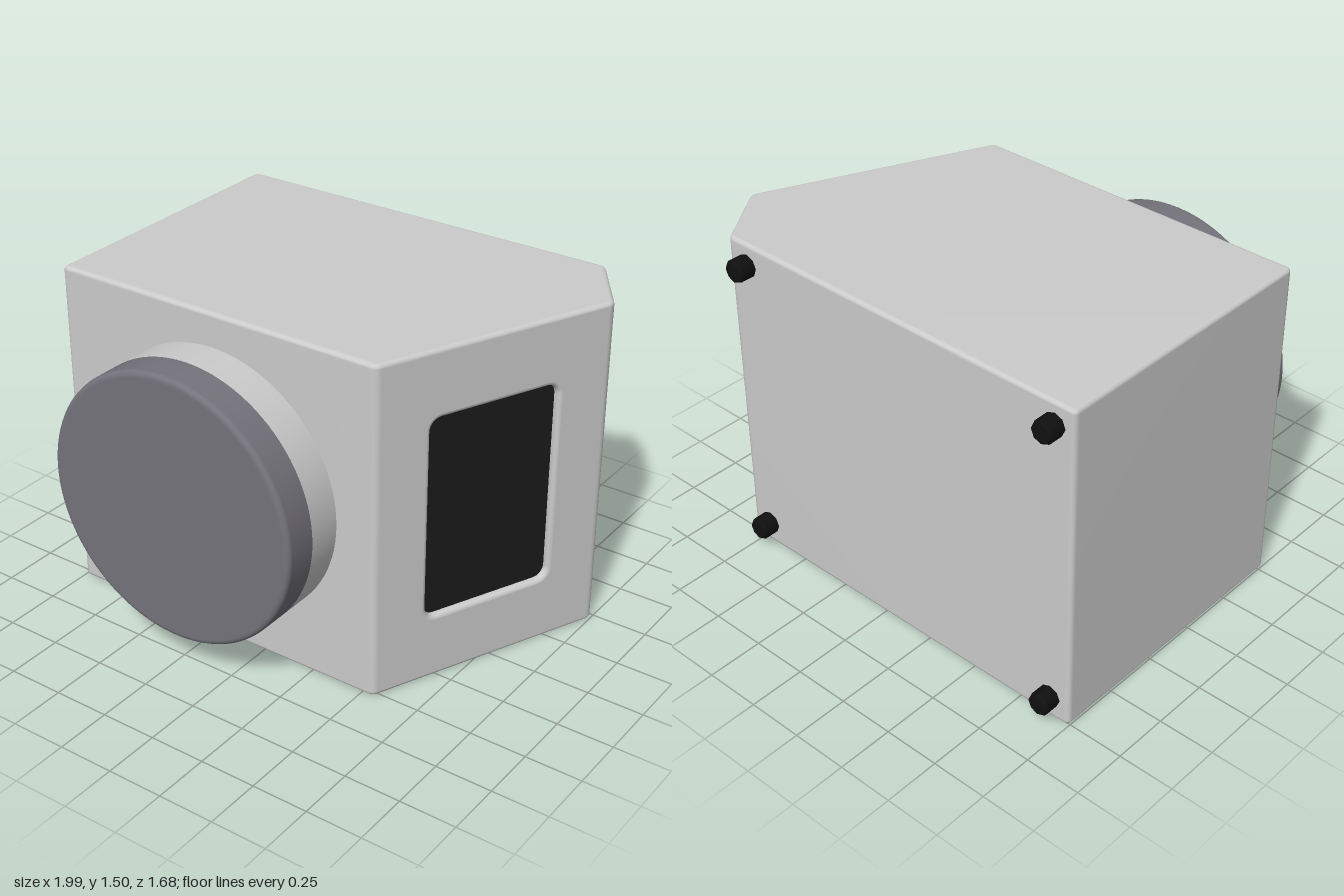
import * as THREE from 'three';
import { mergeVertices } from 'three/addons/utils/BufferGeometryUtils.js';

const H = 1.5;                 // body height
const BEVEL = 0.018;           // rounding of the long edges
const CORNER = 0.025;          // rounding of the upright corners
// Plan of the body as x, z, running anticlockwise seen from above
const PLAN = [[-1, 0.532], [0.555, 0.532], [1, -0.47], [0.8, -0.763], [-1, -0.763]]
  .map(([x, z]) => new THREE.Vector2(x, -z));

const grey = new THREE.MeshStandardMaterial({ color: 0xcccccc });
const slate = new THREE.MeshStandardMaterial({ color: 0x75737b });
const black = new THREE.MeshStandardMaterial({ color: 0x1b1b1b });
const rubber = new THREE.MeshStandardMaterial({ color: 0x101010 });

function part(name, geometry, material) {
  const mesh = new THREE.Mesh(geometry, material);
  mesh.name = name;
  return mesh;
}

// Polygon with softened corners
function softPolygon(points, t) {
  const shape = new THREE.Shape();
  points.forEach((p, i) => {
    const prev = points[(i + points.length - 1) % points.length];
    const next = points[(i + 1) % points.length];
    const a = prev.clone().sub(p).setLength(t).add(p);
    const b = next.clone().sub(p).setLength(t).add(p);
    if (i === 0) shape.moveTo(a.x, a.y); else shape.lineTo(a.x, a.y);
    shape.quadraticCurveTo(p.x, p.y, b.x, b.y);
  });
  shape.closePath();
  return shape;
}

// Rounded rectangle as an anticlockwise ring of points
function roundedRing(hw, hh, r, steps = 6) {
  const ring = [];
  [[1, 1], [-1, 1], [-1, -1], [1, -1]].forEach(([sx, sy], c) => {
    for (let i = 0; i <= steps; i++) {
      const a = (c + i / steps) * Math.PI / 2;
      ring.push(new THREE.Vector2(sx * (hw - r) + r * Math.cos(a), sy * (hh - r) + r * Math.sin(a)));
    }
  });
  return ring;
}

// Five-sided prism, leaving its slanted side open for the window panel
function bodyGeometry() {
  let g = new THREE.ExtrudeGeometry(softPolygon(PLAN, CORNER), {
    depth: H - 2 * BEVEL, curveSegments: 4,
    bevelThickness: BEVEL, bevelSize: BEVEL, bevelOffset: -BEVEL, bevelSegments: 4,
  });
  g.rotateX(-Math.PI / 2).translate(0, BEVEL, 0);
  g.deleteAttribute('normal');
  g.deleteAttribute('uv');
  g.clearGroups();
  g = mergeVertices(g, 1e-4);
  g.computeVertexNormals();
  const [a, b] = [PLAN[1], PLAN[2]];
  const dir = b.clone().sub(a).normalize();
  const pos = g.attributes.position, kept = [];
  const onSlant = (i) =>
    Math.abs((pos.getX(i) - a.x) * dir.y - (-pos.getZ(i) - a.y) * dir.x) < 5e-4;
  for (let i = 0; i < g.index.count; i += 3) {
    const tri = [0, 1, 2].map((k) => g.index.getX(i + k));
    if (!tri.every(onSlant)) kept.push(...tri);
  }
  g.setIndex(kept);
  return g;
}

// Rounded lip and wall of the window recess
function recessGeometry(hw, hh, r, lip, depth) {
  const steps = 4, loops = [];
  for (let k = 0; k <= steps; k++) {
    const a = k / steps * Math.PI / 2;
    loops.push([lip * (1 - Math.sin(a)), -lip * (1 - Math.cos(a))]);
  }
  loops.push([0, -depth]);
  const verts = [], index = [];
  let n = 0;
  loops.forEach(([grow, z], k) => {
    const ring = roundedRing(hw + grow, hh + grow, r + grow);
    n = ring.length;
    ring.forEach((p, i) => {
      verts.push(p.x, p.y, z);
      if (k === loops.length - 1) return;
      const A = k * n + i, B = k * n + (i + 1) % n;
      index.push(A, B, A + n, B, B + n, A + n);
    });
  });
  const g = new THREE.BufferGeometry();
  g.setAttribute('position', new THREE.Float32BufferAttribute(verts, 3));
  g.setIndex(index);
  g.computeVertexNormals();
  return g;
}

// Slanted side panel with the sunken dark window
function windowSide() {
  const group = new THREE.Group();
  group.name = 'windowSide';
  const [a, b] = [PLAN[1], PLAN[2]];
  const hw = 0.3, hh = 0.455, r = 0.05, lip = 0.018, depth = 0.03;
  const halfL = a.distanceTo(b) / 2 - CORNER, halfH = H / 2 - BEVEL;
  const panel = new THREE.Shape([[-1, -1], [1, -1], [1, 1], [-1, 1]]
    .map(([x, y]) => new THREE.Vector2(x * halfL, y * halfH)));
  panel.holes.push(new THREE.Path(roundedRing(hw + lip, hh + lip, r + lip)));
  group.add(part('sidePanel', new THREE.ShapeGeometry(panel), grey));
  group.add(part('windowRecess', recessGeometry(hw, hh, r, lip, depth), grey));
  const pane = part('windowPane', new THREE.ShapeGeometry(new THREE.Shape(roundedRing(hw, hh, r))), black);
  pane.position.z = -depth;
  group.add(pane);
  group.position.set((a.x + b.x) / 2, H / 2, -(a.y + b.y) / 2);
  group.rotation.y = Math.atan2(b.y - a.y, b.x - a.x);
  return group;
}

// Solid disc along +z from 0 to length, with a rounded far edge
function discGeometry(radius, length, round, sides) {
  const pts = [new THREE.Vector2(radius, 0)];
  for (let k = 0; k <= 4; k++) {
    const a = k / 4 * Math.PI / 2;
    pts.push(new THREE.Vector2(radius - round + round * Math.cos(a), length - round + round * Math.sin(a)));
  }
  // extra ring keeps the end face flat in shading
  pts.push(new THREE.Vector2(radius - round * 1.3, length), new THREE.Vector2(0, length));
  return new THREE.LatheGeometry(pts, sides).rotateX(Math.PI / 2);
}

export function createModel() {
  const model = new THREE.Group();
  model.name = 'cabinet';
  model.add(part('body', bodyGeometry(), grey), windowSide());

  // Round front drum: grey collar and dark cap
  const collar = part('drumCollar',
    new THREE.CylinderGeometry(0.598, 0.598, 0.18, 96, 1, true).rotateX(Math.PI / 2), grey);
  collar.position.set(-0.223, 0.755, 0.6);
  const cap = part('drumCap', discGeometry(0.598, 0.15, 0.022, 96), slate);
  cap.position.set(-0.223, 0.755, 0.69);
  model.add(collar, cap);

  // Four stub feet on the back
  const footGeometry = discGeometry(0.05, 0.083, 0.014, 8);
  for (const x of [-0.905, 0.7]) {
    for (const y of [0.105, 1.405]) {
      const foot = part('backFoot', footGeometry, rubber);
      foot.position.set(x, y, -0.757);
      foot.rotation.y = Math.PI;
      model.add(foot);
    }
  }
  return model;
}
